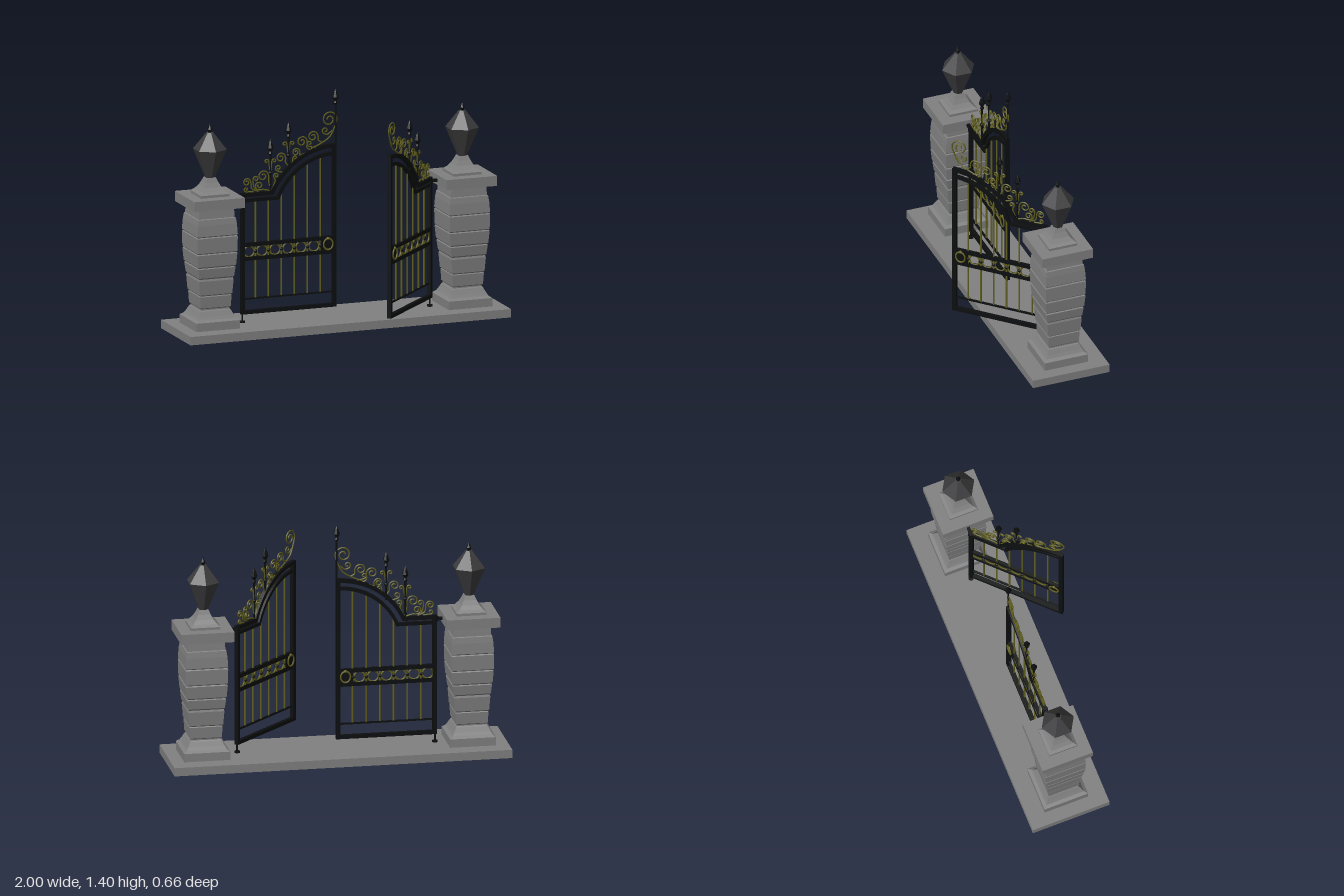
import * as THREE from 'three';

const mat = (color, extra = {}) => new THREE.MeshStandardMaterial({ color, ...extra });
const stone = mat(0x808080, { flatShading: true });
const slate = mat(0x3c3c3e, { flatShading: true });
const iron = mat(0x0c0e0f);
const ironFlat = mat(0x0c0e0f, { flatShading: true });
const brass = mat(0x62601e, { side: THREE.DoubleSide });

const Z = -0.095;        // gate line
const LEN = 0.585;       // hinge axis to free edge
const ARC = [0.575, 0.636]; // centre of the arched top rail

function add(parent, name, geo, material, x = 0, y = 0, z = 0) {
  const m = new THREE.Mesh(geo, material);
  m.name = name;
  m.position.set(x, y, z);
  parent.add(m);
  return m;
}
const box = (p, name, w, h, d, x, y, z, m = iron) => add(p, name, new THREE.BoxGeometry(w, h, d), m, x, y, z);
const rod = (p, name, r, y0, y1, x, m = iron, z = 0) =>
  add(p, name, new THREE.CylinderGeometry(r, r, y1 - y0, 8), m, x, (y0 + y1) / 2, z);
const lathe = (pts, sides, phi = 0) =>
  new THREE.LatheGeometry(pts.map(([r, y]) => new THREE.Vector2(r, y)), sides, phi);
const squareLathe = (pts) => lathe(pts.map(([h, y]) => [h * Math.SQRT2, y]), 4, Math.PI / 4);

// Stone gatepost with bulging courses, cap and faceted finial
function pillar(x) {
  const g = new THREE.Group();
  g.name = 'pillar';
  g.position.set(x, 0, Z);
  add(g, 'pillarShaft', squareLathe([
    [0.136, 0.05], [0.136, 0.1], [0.118, 0.113], [0.108, 0.13], [0.094, 0.158], [0.088, 0.165], [0.088, 0.172],
    [0.094, 0.178], [0.098, 0.245], [0.094, 0.25], [0.101, 0.257], [0.107, 0.34], [0.103, 0.352],
    [0.109, 0.36], [0.116, 0.415], [0.11, 0.42], [0.118, 0.428], [0.124, 0.5], [0.119, 0.506],
    [0.124, 0.512], [0.126, 0.6], [0.121, 0.606], [0.126, 0.612], [0.122, 0.675], [0.117, 0.71],
    [0.112, 0.714], [0.108, 0.775],
  ]), stone);
  box(g, 'pillarCap', 0.316, 0.06, 0.316, 0, 0.803, 0, stone);
  add(g, 'finialPedestal', squareLathe([
    [0.088, 0.833], [0.088, 0.848], [0.07, 0.862], [0.052, 0.885], [0.038, 0.912], [0.028, 0.937], [0, 0.937],
  ]), stone);
  add(g, 'finial', lathe([[0, 0.935], [0.028, 0.935], [0.1, 1.105], [0.02, 1.205], [0, 1.205]], 6), slate);
  add(g, 'finialTip', lathe([[0.007, 1.2], [0.015, 1.222], [0, 1.252]], 6), ironFlat);
  return g;
}

// Outline of the gate's top: a flat run from the hinge, then an arc up to the free edge
function topLine(R, flat) {
  const a1 = Math.PI - Math.asin((flat - ARC[1]) / R);
  const pts = [[-0.01, flat]];
  for (let i = 0; i <= 18; i++) {
    const a = a1 + (Math.PI / 2 - a1) * i / 18;
    pts.push([ARC[0] + R * Math.cos(a), ARC[1] + R * Math.sin(a)]);
  }
  return [...pts, [LEN, ARC[1] + R]];
}

function topRail(g, name, R, flat, w, depth) {
  const loop = [...topLine(R - w / 2, flat - w / 2), ...topLine(R + w / 2, flat + w / 2).reverse()];
  const shape = new THREE.Shape(loop.map(([x, y]) => new THREE.Vector2(x, y)));
  add(g, name, new THREE.ExtrudeGeometry(shape, { depth, bevelEnabled: false }), iron, 0, 0, -depth / 2);
}

// Height of the inner rail, where the thin bars stop
function railHeight(u) {
  const d = ARC[0] - u;
  return Math.max(0.778, d < 0.38 ? ARC[1] + Math.sqrt(0.38 ** 2 - d * d) : 0);
}

// Wrought scroll: a stem running into an inward spiral
function scroll(g, stem, cx, cy, r, a0, dir, turns = 1.4) {
  const pts = stem.map(([x, y]) => new THREE.Vector3(x, y, 0));
  const n = Math.ceil(turns * 9);
  for (let i = 0; i <= n; i++) {
    const a = a0 + dir * turns * 2 * Math.PI * i / n;
    const k = r * (1 - 0.75 * i / n);
    pts.push(new THREE.Vector3(cx + k * Math.cos(a), cy + k * Math.sin(a), 0));
  }
  add(g, 'scroll', new THREE.TubeGeometry(new THREE.CatmullRomCurve3(pts), 52, 0.0045, 5), brass);
}

function spear(g, u, y0, tip) {
  rod(g, 'spearShaft', 0.006, y0, tip - 0.07, u);
  add(g, 'spearHead', lathe([[0.006, tip - 0.095], [0.013, tip - 0.085], [0.008, tip - 0.072],
    [0.02, tip - 0.05], [0.01, tip - 0.02], [0, tip]], 6), ironFlat, u);
}

function gateLeaf(name, hasPole) {
  const g = new THREE.Group();
  g.name = name;

  // Frame
  box(g, 'hingeStile', 0.024, 0.72, 0.024, 0.002, 0.46, 0);
  box(g, 'freeStile', 0.024, 0.97, 0.024, LEN - 0.012, 0.586, 0);
  box(g, 'bottomRail', LEN + 0.01, 0.022, 0.024, LEN / 2 - 0.005, 0.111, 0);
  box(g, 'lowerBar', LEN - 0.02, 0.009, 0.012, LEN / 2, 0.19, 0);
  topRail(g, 'outerTopRail', 0.427, 0.811, 0.023, 0.024);
  topRail(g, 'innerTopRail', 0.38, 0.778, 0.02, 0.018);

  // Thin upright bars
  const bars = [0, 1, 2, 3, 4, 5].map((i) => 0.082 + 0.081 * i);
  for (const u of bars) rod(g, 'uprightBar', 0.0055, 0.19, railHeight(u), u, brass);

  // Middle band of rings, with lock plate and ring handles
  for (const y of [0.43, 0.513]) box(g, 'bandRail', LEN - 0.02, 0.023, 0.02, LEN / 2, y, 0);
  for (const u of bars) {
    add(g, 'bandRing', new THREE.TorusGeometry(0.032, 0.0055, 6, 20), brass, u - 0.04, 0.471);
    add(g, 'ringJoint', new THREE.SphereGeometry(0.012, 8, 6), iron, u, 0.471);
    box(g, 'ringLink', 0.026, 0.007, 0.008, u, 0.471, 0);
  }
  box(g, 'lockPlate', 0.085, 0.075, 0.018, 0.53, 0.471, 0);
  for (const s of [1, -1]) {
    add(g, 'ringHandle', new THREE.TorusGeometry(0.029, 0.005, 6, 20), brass, 0.531, 0.478, s * 0.015).scale.y = 1.15;
    add(g, 'handleBoss', new THREE.SphereGeometry(0.01, 8, 6), brass, 0.531, 0.511, s * 0.012);
  }

  // Spears with paired curls
  for (const [u, y0, tip] of [[0.175, 0.81, 1.13], [0.288, 0.93, 1.225]]) {
    spear(g, u, y0, tip);
    for (const s of [1, -1]) {
      const a = s > 0 ? Math.PI : 0;
      scroll(g, [[u, tip - 0.2], [u + s * 0.006, tip - 0.16]], u + s * 0.024, tip - 0.13, 0.014, a, -s, 1);
    }
    add(g, 'spearCollar', new THREE.SphereGeometry(0.012, 8, 6), iron, u, tip - 0.2);
  }
  if (hasPole) spear(g, LEN - 0.004, 1.07, 1.4);

  // Scrollwork climbing the top rail
  const PI = Math.PI;
  scroll(g, [[0.43, 1.055], [0.49, 1.08], [0.545, 1.115], [0.575, 1.17]], 0.542, 1.22, 0.048, 0, 1, 1.5);
  scroll(g, [[0.56, 1.15], [0.53, 1.13]], 0.518, 1.155, 0.022, -PI / 2, -1, 1.1);
  scroll(g, [[0.5, 1.085], [0.475, 1.1]], 0.44, 1.125, 0.033, 0, 1);
  scroll(g, [[0.43, 1.045], [0.405, 1.06]], 0.372, 1.1, 0.033, 0, 1);
  scroll(g, [[0.46, 1.06], [0.425, 1.065]], 0.42, 1.085, 0.018, -PI / 2, -1, 1.1);
  scroll(g, [[0.39, 1.03], [0.36, 1.02]], 0.335, 1.04, 0.025, 0, 1);
  scroll(g, [[0.3, 0.97], [0.315, 0.99]], 0.33, 1.005, 0.014, PI, -1, 1);
  scroll(g, [[0.29, 0.96], [0.27, 0.985]], 0.24, 1.015, 0.03, 0, 1);
  scroll(g, [[0.26, 0.925], [0.24, 0.93]], 0.225, 0.955, 0.02, -PI / 2, -1, 1.2);
  scroll(g, [[0.19, 0.84], [0.205, 0.88]], 0.212, 0.91, 0.016, PI, -1, 1.1);
  scroll(g, [[0.18, 0.83], [0.165, 0.88]], 0.13, 0.915, 0.034, 0, 1);
  scroll(g, [[0.17, 0.825], [0.13, 0.835]], 0.105, 0.86, 0.026, -PI / 2, -1);
  scroll(g, [[0.1, 0.825], [0.075, 0.85]], 0.085, 0.9, 0.018, PI, -1, 1.1);
  scroll(g, [[0.1, 0.825], [0.06, 0.845]], 0.028, 0.885, 0.025, 0, 1);
  scroll(g, [[0.07, 0.825], [0.04, 0.828]], 0.025, 0.843, 0.015, -PI / 2, -1, 1);

  // Hinge pivots
  rod(g, 'hingeKnuckle', 0.018, 0.785, 0.815, 0);
  rod(g, 'bottomPivot', 0.006, 0.05, 0.1, 0);
  rod(g, 'pivotFoot', 0.017, 0.05, 0.06, 0);
  return g;
}

export function createModel() {
  const model = new THREE.Group();
  model.name = 'gateway';
  box(model, 'baseSlab', 2, 0.05, 0.48, 0, 0.025, Z, stone);

  for (const s of [-1, 1]) {
    model.add(pillar(s * 0.787));
    box(model, 'hingeBracket', 0.1, 0.018, 0.018, s * 0.63, 0.8, Z);
  }

  // Closed right leaf; left leaf swung open towards the front
  const right = gateLeaf('rightGate', true);
  right.position.set(-LEN, 0, Z);
  const left = gateLeaf('leftGate', false);
  left.position.set(LEN, 0, Z);
  left.rotation.y = -0.75 * Math.PI;
  model.add(right, left);
  return model;
}
